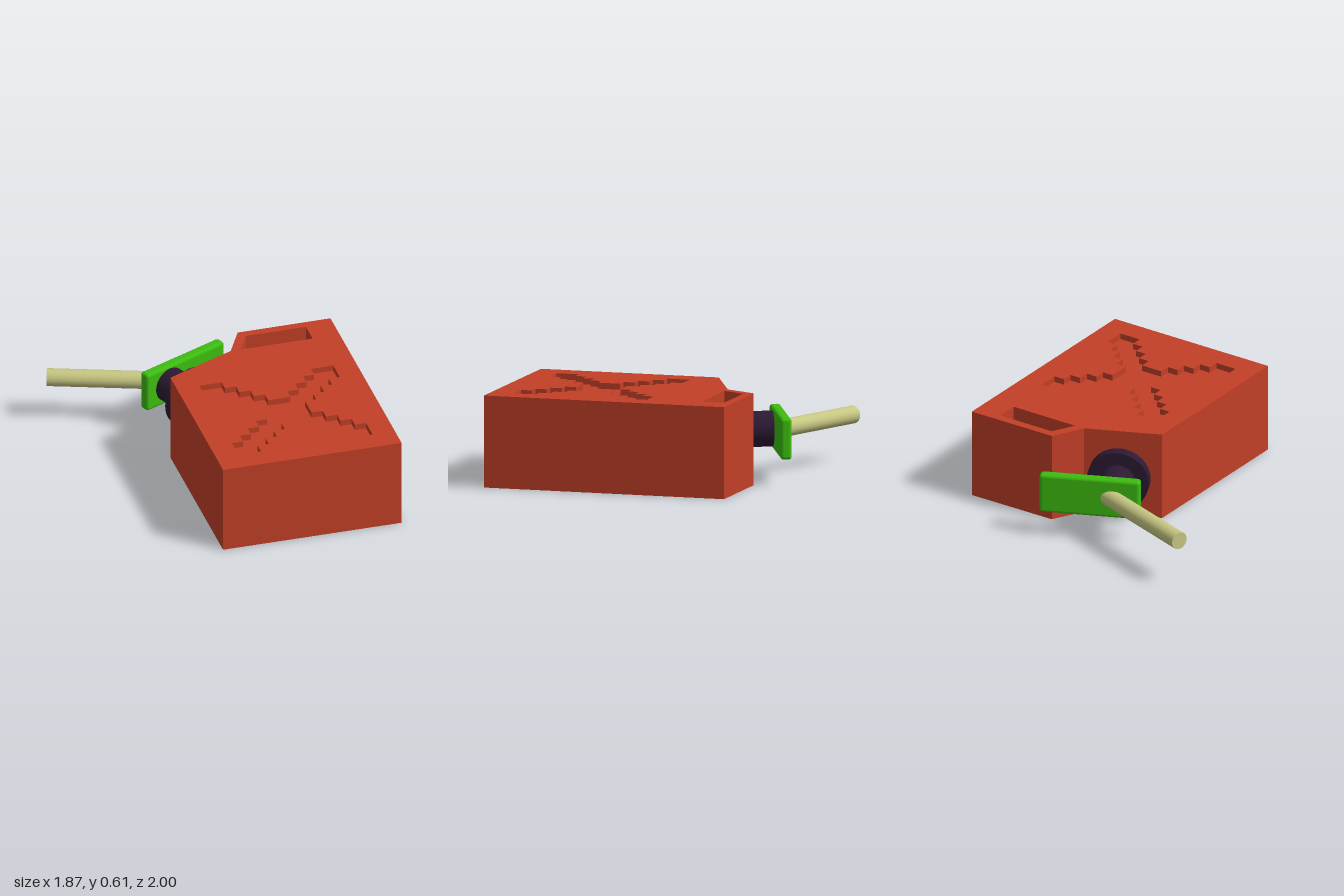
import * as THREE from 'three';
import { mergeGeometries } from 'three/addons/utils/BufferGeometryUtils.js';
import { RoundedBoxGeometry } from 'three/addons/geometries/RoundedBoxGeometry.js';

const H = 0.61;       // thickness of the can
const RECESS = 0.04;  // depth of the cross pressed into the top

const material = (color) => new THREE.MeshStandardMaterial({ color });

function addMesh(parent, name, geometry, mat) {
  const mesh = new THREE.Mesh(geometry, mat);
  mesh.name = name;
  parent.add(mesh);
  return mesh;
}

// Points are plan positions (x, -z)
const plan = (pairs) => pairs.map(([x, z]) => new THREE.Vector2(x, -z));

// Vertical walls along a closed loop; anticlockwise loops face outwards
function walls(points, y0, y1) {
  const pos = [];
  points.forEach((a, i) => {
    const b = points[(i + 1) % points.length];
    pos.push(a.x, y0, -a.y, b.x, y0, -b.y, b.x, y1, -b.y);
    pos.push(a.x, y0, -a.y, b.x, y1, -b.y, a.x, y1, -a.y);
  });
  const g = new THREE.BufferGeometry();
  g.setAttribute('position', new THREE.Float32BufferAttribute(pos, 3));
  g.computeVertexNormals();
  return g;
}

// Flat face at height y, facing up or down
function cap(outline, holes, y, up = true) {
  const shape = new THREE.Shape(outline);
  shape.holes = holes.map((h) => new THREE.Path(h));
  let g = new THREE.ShapeGeometry(shape);
  g.rotateX(-Math.PI / 2).translate(0, y, 0);
  g = g.toNonIndexed();
  g.deleteAttribute('uv');
  if (!up) {
    const p = g.attributes.position;
    const a = new THREE.Vector3(), b = new THREE.Vector3();
    for (let i = 0; i < p.count; i += 3) {
      a.fromBufferAttribute(p, i + 1);
      b.fromBufferAttribute(p, i + 2);
      p.setXYZ(i + 1, b.x, b.y, b.z);
      p.setXYZ(i + 2, a.x, a.y, a.z);
    }
    g.computeVertexNormals();
  }
  return g;
}

// Stepped cross: one quarter of the outline, turned four times (clockwise)
function crossLoop(cx, cz, cell) {
  const quarter = [[-6, 6], [-4, 6], [-4, 5], [-3, 5], [-3, 4], [-2, 4], [-2, 3],
    [-1, 3], [-1, 2], [1, 2], [1, 3], [2, 3], [2, 4], [3, 4], [3, 5], [4, 5], [4, 6]];
  const pts = [];
  for (let k = 0; k < 4; k++) {
    for (const [x, y] of quarter) {
      const p = new THREE.Vector2(x, y).rotateAround(new THREE.Vector2(), -k * Math.PI / 2);
      pts.push(p.multiplyScalar(cell).add(new THREE.Vector2(cx, -cz)));
    }
  }
  return pts;
}

export function createModel() {
  const model = new THREE.Group();
  model.name = 'fuelCan';
  const red = material(0xc23f27);
  const dark = material(0x2c1a33);
  const green = material(0x3cbc10);
  const tan = material(0xc6c682);

  // Can body with a through handle opening and a recessed cross
  const outline = plan([[-0.285, 1], [0.935, 1], [0.935, -0.655], [0.30, -0.652],
    [0.19, -0.44], [-0.285, -0.225]]);
  const grip = plan([[0.26, -0.44], [0.34, -0.595], [0.75, -0.595], [0.75, -0.44]]);
  const cross = crossLoop(0.325, 0.385, 0.0763);
  addMesh(model, 'canBody', mergeGeometries([
    walls(outline, 0, H),
    walls(grip, 0, H),
    walls(cross, H - RECESS, H),
    cap(outline, [grip, cross], H),
    cap(outline, [grip], 0, false),
    cap(cross, [], H - RECESS),
  ]), red);

  // Spout assembly: local y points out of the sloping shoulder, local z is up
  const spout = new THREE.Group();
  spout.name = 'spout';
  const out = new THREE.Vector3(-0.412, 0, -0.911).normalize();
  const up = new THREE.Vector3(0, 1, 0);
  const along = new THREE.Vector3().crossVectors(out, up);
  spout.quaternion.setFromRotationMatrix(new THREE.Matrix4().makeBasis(along, out, up));
  spout.position.set(-0.037, H / 2 + 0.002, -0.34);
  model.add(spout);

  const neck = addMesh(spout, 'neck', new THREE.CylinderGeometry(0.118, 0.118, 0.38, 48), dark);
  neck.position.y = 0.165;
  const collar = addMesh(spout, 'collar', new THREE.CylinderGeometry(0.206, 0.206, 0.074, 48), dark);
  collar.position.y = 0.091;
  const lever = addMesh(spout, 'lever', new RoundedBoxGeometry(0.67, 0.074, 0.275, 4, 0.022), green);
  lever.position.set(0.141, 0.358, 0);

  // Pouring tube leaning away from the lever
  const start = new THREE.Vector3(0.024, 0.357, 0);
  const end = new THREE.Vector3(-0.553, 0.914, 0);
  const tube = addMesh(spout, 'pouringTube',
    new THREE.CylinderGeometry(0.059, 0.059, start.distanceTo(end), 32), tan);
  tube.position.lerpVectors(start, end, 0.5);
  tube.quaternion.setFromUnitVectors(up, end.clone().sub(start).normalize());

  return model;
}
